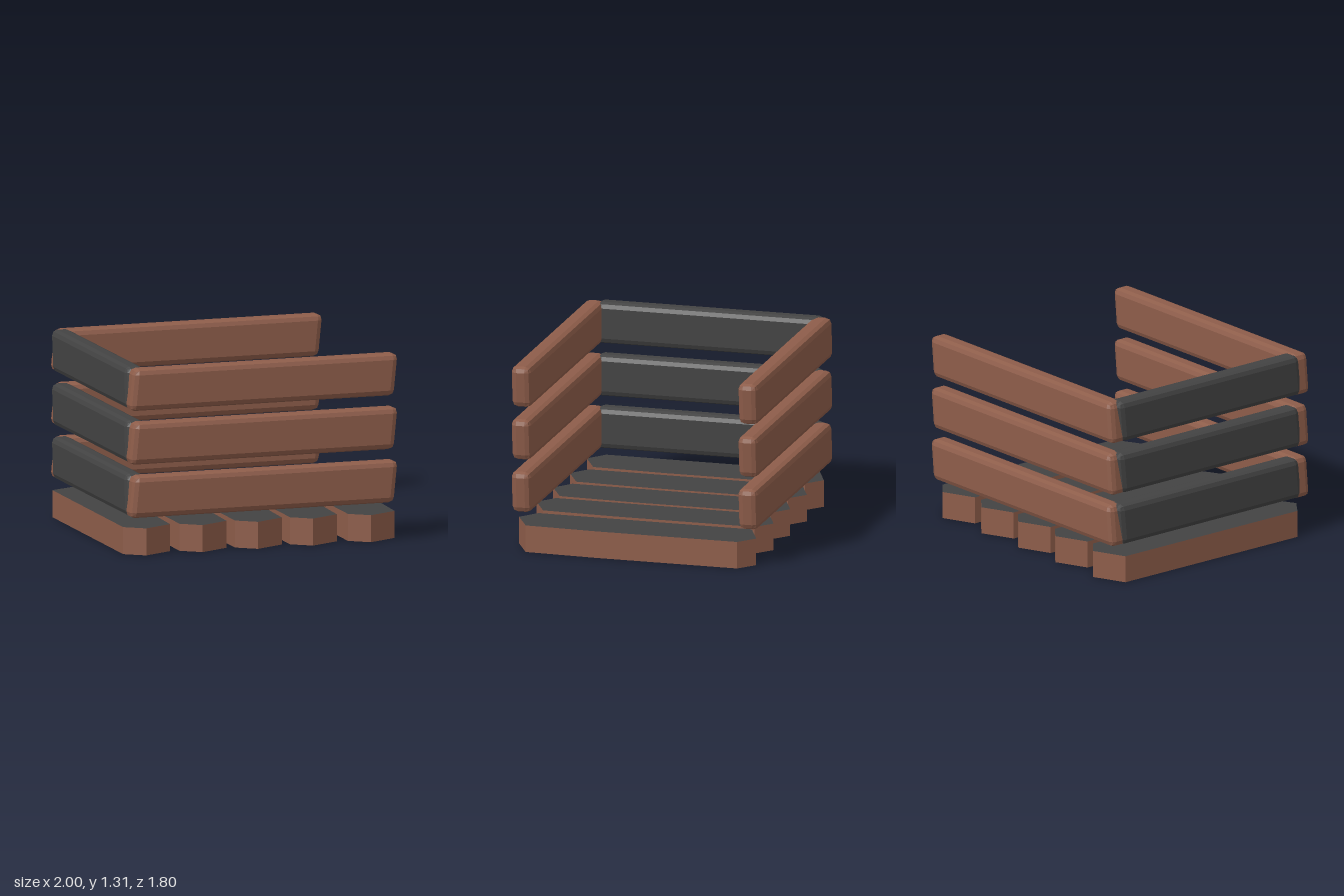
import * as THREE from 'three';
import { RoundedBoxGeometry } from 'three/addons/geometries/RoundedBoxGeometry.js';

const brown = new THREE.MeshStandardMaterial({ name: 'brown wood', color: 0x8e5d4a });
const charcoal = new THREE.MeshStandardMaterial({ name: 'charcoal wood', color: 0x434343 });

// Rounded plank along x with faceted edges, leaning slightly towards +x at the top
function plankGeometry(length, height, depth) {
  const geo = new RoundedBoxGeometry(length, height, depth, 1, 0.04);
  const pos = geo.attributes.position;
  for (let i = 0; i < pos.count; i++) pos.setX(i, pos.getX(i) + 0.1 * pos.getY(i));
  geo.computeVertexNormals();
  return geo;
}

// Floor slat with pointed ends; outline in plan as [x, z] from the slat's centre
function slatGeometry() {
  const outline = [
    [-0.18, 0.77], [-0.045, 0.87], [0.165, 0.76], [0.18, 0.25],
    [0.175, -0.77], [0.05, -0.87], [-0.18, -0.77],
  ];
  const shape = new THREE.Shape(outline.map(([x, z]) => new THREE.Vector2(x, -z)));
  const geo = new THREE.ExtrudeGeometry(shape, { depth: 0.19, bevelEnabled: false });
  return geo.rotateX(-Math.PI / 2);
}

export function createModel() {
  const model = new THREE.Group();
  model.name = 'slattedCrate';

  function add(name, geo, material, x, y, z, turn = 0) {
    const mesh = new THREE.Mesh(geo, material);
    mesh.name = name;
    mesh.position.set(x, y, z);
    mesh.rotation.y = turn;
    model.add(mesh);
  }

  // Floor: dark top and bottom, brown edges
  const slat = slatGeometry();
  [-0.82, -0.408, -0.004, 0.398, 0.82].forEach((x) => {
    add('floorSlat', slat, [charcoal, brown], x, 0, 0);
  });

  // Walls: three levels on front, back and right; the left side is open
  const rail = plankGeometry(1.94, 0.294, 0.14);
  const endRail = plankGeometry(1.62, 0.294, 0.14);
  [0.413, 0.788, 1.165].forEach((y) => {
    add('frontRail', rail, brown, -0.005, y, 0.817, 0.013);
    add('backRail', rail, brown, -0.005, y, -0.82, 0.013);
    add('endRail', endRail, charcoal, -0.925, y + 0.002, 0.005, Math.PI / 2 + 0.006);
  });

  return model;
}
